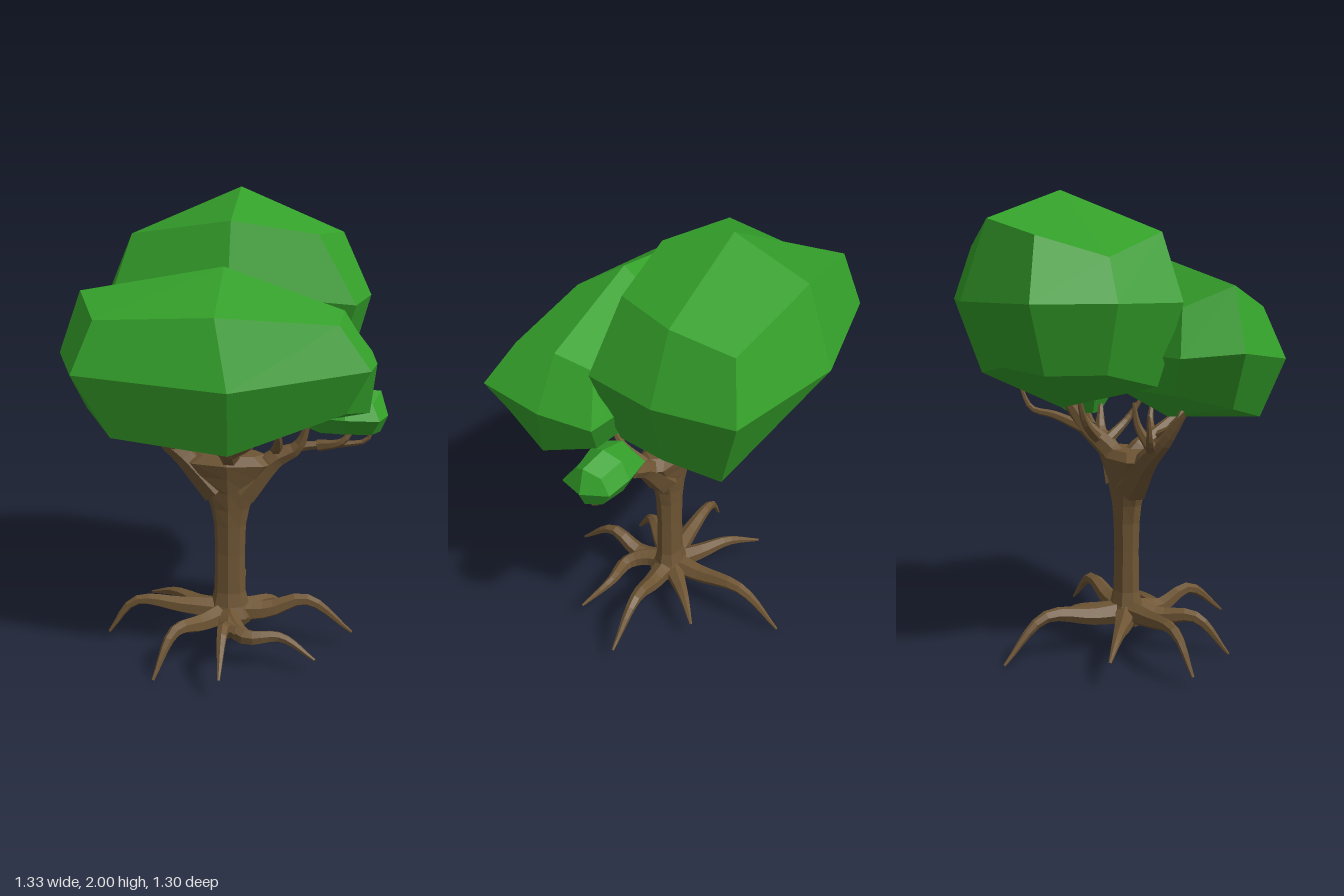
import * as THREE from 'three';

const leaf = new THREE.MeshStandardMaterial({ color: 0x34a02a });
leaf.name = 'leaf green';
const bark = new THREE.MeshStandardMaterial({ color: 0x6e5534, flatShading: true });
bark.name = 'bark brown';

// Faceted clump: three rings of eight points (front, then round by +x) between two poles.
// Each four-cornered facet gets one normal, so it shades as a single face.
function clump(name, top, upper, middle, lower, bottom) {
  const pos = [], nor = [];
  const quad = (...corners) => {
    const [a, b, c, d] = corners.map(p => new THREE.Vector3(...p));
    const n = c.clone().sub(a).cross(d.clone().sub(b)).normalize();
    for (const p of [a, b, c, a, c, d]) {
      pos.push(p.x, p.y, p.z);
      nor.push(n.x, n.y, n.z);
    }
  };
  for (const [lo, hi] of [[lower, middle], [middle, upper]]) {
    for (let i = 0; i < 8; i++) {
      const j = (i + 1) % 8;
      quad(lo[i], lo[j], hi[j], hi[i]);
    }
  }
  for (let i = 0; i < 8; i += 2) {
    const j = (i + 2) % 8;
    quad(top, upper[i], upper[i + 1], upper[j]);
    quad(bottom, lower[j], lower[i + 1], lower[i]);
  }
  const g = new THREE.BufferGeometry();
  g.setAttribute('position', new THREE.Float32BufferAttribute(pos, 3));
  g.setAttribute('normal', new THREE.Float32BufferAttribute(nor, 3));
  const m = new THREE.Mesh(g, leaf);
  m.name = name;
  return m;
}

// Six-sided limb along a curve, tapering from r0 to r1
function limb(name, points, r0, r1) {
  const curve = new THREE.CatmullRomCurve3(points.map(p => new THREE.Vector3(...p)));
  const segs = points.length * 3, sides = 6;
  const g = new THREE.TubeGeometry(curve, segs, 1, sides, false);
  const p = g.attributes.position, v = new THREE.Vector3();
  for (let i = 0; i < p.count; i++) {
    const t = Math.floor(i / (sides + 1)) / segs;
    const c = curve.getPointAt(t);
    v.fromBufferAttribute(p, i).sub(c).multiplyScalar(r0 + (r1 - r0) * t).add(c);
    p.setXYZ(i, v.x, v.y, v.z);
  }
  g.computeVertexNormals();
  const m = new THREE.Mesh(g, bark);
  m.name = name;
  return m;
}

// Eight-sided trunk, flaring into the roots and fanning out sideways at the fork
function makeTrunk() {
  const profile = [[0.001, 0.1], [0.09, 0.12], [0.11, 0.16], [0.085, 0.21], [0.07, 0.27],
    [0.066, 0.45], [0.07, 0.58], [0.085, 0.66], [0.117, 0.74], [0.165, 0.81], [0.215, 0.87], [0.15, 0.905], [0.001, 0.905]];
  const g = new THREE.LatheGeometry(profile.map(p => new THREE.Vector2(...p)), 8);
  const p = g.attributes.position;
  for (let i = 0; i < p.count; i++) {
    const fan = THREE.MathUtils.clamp((p.getY(i) - 0.6) / 0.25, 0, 1);
    p.setZ(i, p.getZ(i) * (0.82 - 0.36 * fan));
  }
  g.computeVertexNormals();
  const m = new THREE.Mesh(g, bark);
  m.name = 'trunk';
  m.position.set(0.004, 0, 0.08);
  return m;
}

export function createModel() {
  const tree = new THREE.Group();
  tree.name = 'tree';

  // Foliage
  tree.add(clump('backCrown', [0.01, 2, -0.22],
    [[0.01, 1.88, 0.095], [0.36, 1.825, 0.04], [0.45, 1.815, -0.22], [0.435, 1.78, -0.48],
      [0.01, 1.88, -0.535], [-0.41, 1.8, -0.48], [-0.5, 1.72, -0.22], [-0.41, 1.82, 0.04]],
    [[0.01, 1.6, 0.185], [0.52, 1.55, 0.09], [0.575, 1.55, -0.22], [0.52, 1.55, -0.54],
      [0.01, 1.55, -0.65], [-0.5, 1.55, -0.535], [-0.58, 1.55, -0.22], [-0.5, 1.55, 0.09]],
    [[0.01, 1.27, 0.06], [0.42, 1.22, 0.03], [0.5, 1.27, -0.22], [0.44, 1.22, -0.44],
      [0.01, 1.28, -0.48], [-0.42, 1.28, -0.45], [-0.48, 1.28, -0.22], [-0.42, 1.22, 0.02]],
    [0.01, 1.1, -0.22]));
  tree.add(clump('frontCrown', [0.01, 1.72, 0.28],
    [[0.01, 1.56, 0.525], [0.47, 1.535, 0.48], [0.48, 1.56, 0.28], [0.465, 1.53, 0.11],
      [0.01, 1.56, 0.05], [-0.47, 1.53, 0.1], [-0.57, 1.615, 0.275], [-0.47, 1.53, 0.465]],
    [[0.075, 1.305, 0.65], [0.592, 1.385, 0.56], [0.612, 1.355, 0.28], [0.59, 1.355, 0.04],
      [0.01, 1.34, -0.03], [-0.575, 1.34, 0.04], [-0.667, 1.36, 0.27], [-0.55, 1.325, 0.525]],
    [[0.065, 1.04, 0.565], [0.505, 1.215, 0.53], [0.59, 1.16, 0.29], [0.525, 1.22, 0.07],
      [0.01, 1.17, 0.06], [-0.42, 1.18, 0.09], [-0.56, 1.135, 0.28], [-0.405, 1.075, 0.5]],
    [0.01, 1.035, 0.28]));
  tree.add(clump('smallCrown', [0.5, 1.2, 0.06],
    [[0.49, 1.17, 0.13], [0.6, 1.15, 0.12], [0.632, 1.195, 0.06], [0.6, 1.15, 0],
      [0.49, 1.17, -0.02], [0.39, 1.15, 0], [0.37, 1.16, 0.06], [0.39, 1.15, 0.12]],
    [[0.49, 1.09, 0.175], [0.63, 1.09, 0.17], [0.665, 1.09, 0.06], [0.612, 1.09, -0.045],
      [0.49, 1.09, -0.055], [0.36, 1.09, -0.04], [0.32, 1.08, 0.06], [0.36, 1.09, 0.15]],
    [[0.49, 1.02, 0.13], [0.6, 1.02, 0.12], [0.635, 1.02, 0.06], [0.6, 1.02, 0],
      [0.49, 1.02, -0.02], [0.39, 1.02, 0], [0.34, 1.02, 0.06], [0.39, 1.02, 0.12]],
    [0.5, 1, 0.06]));

  tree.add(makeTrunk());

  // Roots: arch out, then dip to a point
  const roots = [
    [[-0.1, 0.16, 0.2], [-0.2, 0.17, 0.32], [-0.27, 0.005, 0.45]],
    [[0.02, 0.16, 0.25], [0.02, 0.23, 0.4], [0.03, 0.1, 0.58]],
    [[0.17, 0.18, 0.07], [0.34, 0.23, 0.05], [0.545, 0.08, 0.04]],
    [[0.03, 0.16, 0.2], [0.1, 0.14, 0.27], [0.25, 0.145, 0.26], [0.4, 0.08, 0.32]],
    [[0.08, 0.16, -0.01], [0.16, 0.15, -0.1], [0.23, 0.085, -0.18]],
    [[0, 0.17, -0.08], [0, 0.19, -0.31], [-0.02, 0.01, -0.5]],
    [[-0.14, 0.16, 0], [-0.27, 0.165, -0.08], [-0.41, 0.11, -0.18]],
    [[-0.2, 0.19, 0.1], [-0.42, 0.2, 0.11], [-0.54, 0.05, 0.13]],
  ];
  roots.forEach(r => tree.add(limb('root', [[0, 0.17, 0.08], ...r], 0.055, 0.006)));

  // Side branches
  tree.add(limb('branch', [[-0.05, 0.74, 0.08], [-0.195, 0.89, 0.09], [-0.28, 0.97, 0.12], [-0.37, 1.1, 0.17]], 0.075, 0.01));
  tree.add(limb('branch', [[0.06, 0.74, 0.08], [0.2, 0.89, 0.08], [0.29, 0.94, 0.08], [0.34, 1.06, 0.1]], 0.075, 0.01));

  // Front and back branches
  tree.add(limb('branch', [[0.01, 0.78, 0.08], [0.01, 0.89, 0.13], [0.02, 0.96, 0.23], [0.04, 1.07, 0.38]], 0.06, 0.01));
  tree.add(limb('branch', [[0.01, 0.78, 0.08], [0.04, 0.89, 0.02], [0.08, 1.01, -0.09], [0.11, 1.24, -0.23]], 0.06, 0.01));

  // Twigs reaching into the foliage
  const twigs = [
    [[0.18, 0.9, 0.08], [0.32, 0.945, 0.07], [0.5, 0.96, 0.06], [0.58, 0.98, 0.06], [0.61, 1.05, 0.06]],
    [[0.38, 0.95, 0.07], [0.48, 0.98, 0.1], [0.53, 1.05, 0.09]],
    [[-0.24, 0.94, 0.12], [-0.22, 1.02, 0.2], [-0.2, 1.12, 0.26]],
    [[-0.2, 0.92, 0.1], [-0.31, 0.98, 0.04], [-0.36, 1.1, 0.01]],
    [[-0.26, 0.95, 0.07], [-0.24, 1.04, 0.02], [-0.24, 1.14, 0]],
    [[0.2, 0.92, 0.08], [0.22, 1, 0.18], [0.2, 1.12, 0.26]],
    [[0.07, 0.98, -0.06], [0.2, 1.07, -0.07], [0.3, 1.28, -0.1]],
    [[0.02, 0.94, 0.22], [-0.07, 1, 0.27], [-0.12, 1.09, 0.3]],
    [[0.02, 0.94, 0.22], [0.12, 1, 0.25], [0.16, 1.1, 0.28]],
    [[0.07, 0.99, -0.08], [0.15, 1.05, -0.2], [0.2, 1.08, -0.29], [0.23, 1.18, -0.33]],
    [[0.05, 0.95, -0.04], [-0.03, 1.04, -0.13], [-0.07, 1.18, -0.18]],
  ];
  twigs.forEach(t => tree.add(limb('twig', t, 0.026, 0.007)));

  return tree;
}
